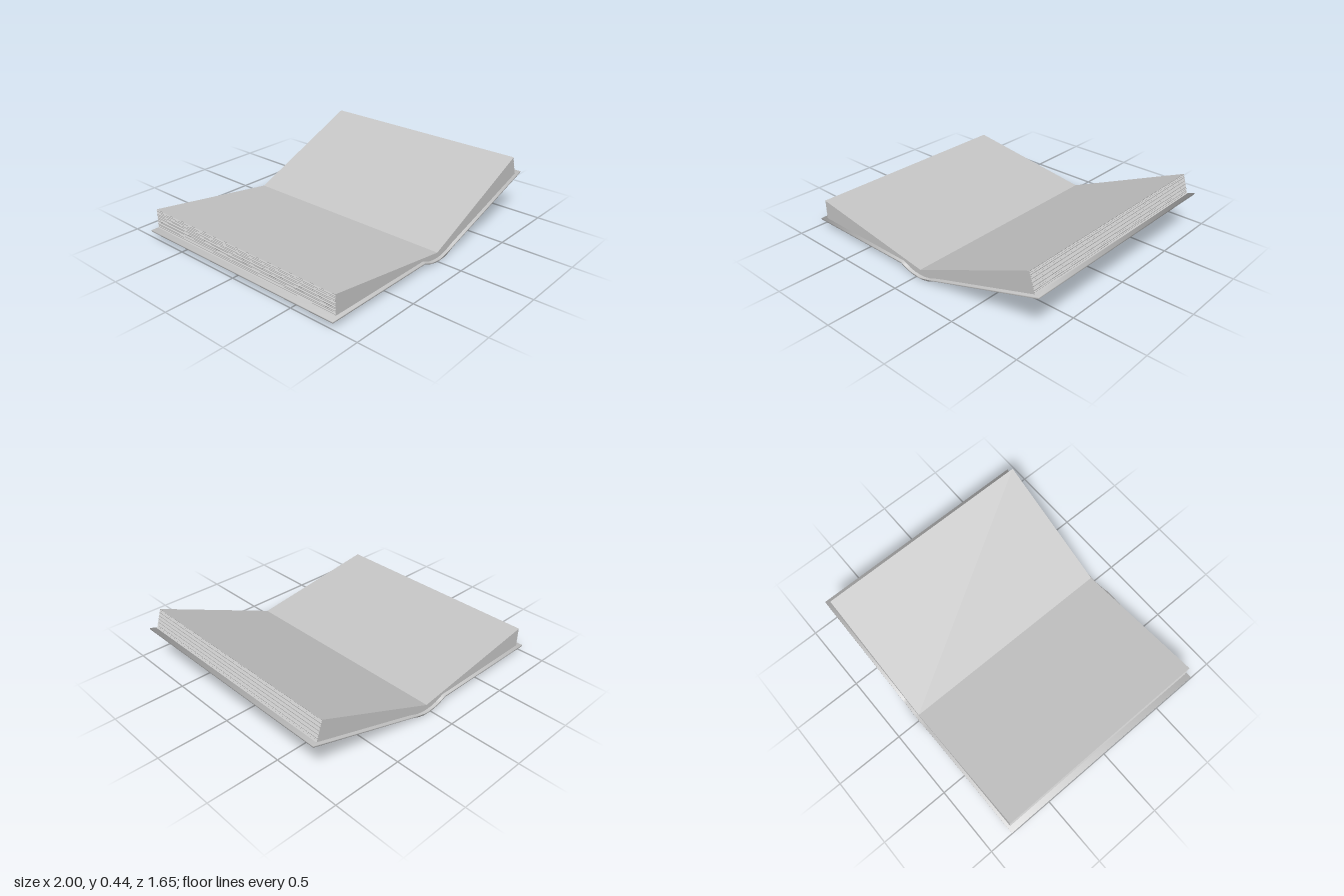
import * as THREE from 'three';
import { toCreasedNormals } from 'three/addons/utils/BufferGeometryUtils.js';

const grey = new THREE.MeshStandardMaterial({ color: 0xc4c4c4 });
grey.name = 'plain grey';

// Extrude an x/y outline evenly to both sides of z = 0
function slab(points, halfDepth) {
  const shape = new THREE.Shape(points.map(([x, y]) => new THREE.Vector2(x, y)));
  const geometry = new THREE.ExtrudeGeometry(shape, { depth: 2 * halfDepth, bevelEnabled: false, steps: 1 });
  return geometry.translate(0, 0, -halfDepth);
}

// Uneven zigzag of page edges running from a to b, cut inwards along inX
function pageEdges(a, b, inX, count = 12) {
  const points = [];
  for (let i = 0; i <= count * 2; i++) {
    const t = i / (count * 2);
    const depth = i % 2 ? 0.004 + 0.003 * Math.abs(Math.sin(i * 2.3)) : 0.001 * (1 + Math.sin(i * 1.7));
    const inset = i === 0 || i === count * 2 ? 0 : depth;
    points.push([a[0] + (b[0] - a[0]) * t + inX * inset, a[1] + (b[1] - a[1]) * t]);
  }
  return points;
}

export function createModel() {
  const group = new THREE.Group();
  group.name = 'openBook';
  const add = (name, geometry) => {
    const mesh = new THREE.Mesh(geometry, grey);
    mesh.name = name;
    group.add(mesh);
  };

  // Cover: flat left board, curved spine, raised right board
  const under = [[-1, 0.04], [-0.14, 0.04], [-0.11, 0.026], [-0.07, 0.012], [-0.025, 0.003], [0.02, 0],
    [0.065, 0.003], [0.11, 0.014], [0.15, 0.03], [0.18, 0.042], [1, 0.303]];
  const upper = under.map(([x, y]) => [x, y + 0.01]).reverse();
  // Enlarged while smoothing so the thin faces stay distinct
  const cover = slab([...under, ...upper], 0.825).scale(100, 100, 100);
  add('cover', toCreasedNormals(cover, Math.PI).scale(0.01, 0.01, 0.01));

  // Page blocks meeting at the gutter
  const gutter = [0.02, 0.05];
  const base = [0.02, 0.012];
  add('leftPages', slab([
    gutter, ...pageEdges([-0.958, 0.197], [-0.958, 0.058], 1),
    [-0.14, 0.052], [-0.07, 0.024], [-0.025, 0.015], base,
  ], 0.805));
  add('rightPages', slab([
    base, [0.065, 0.015], [0.11, 0.026], [0.18, 0.054],
    ...pageEdges([0.96, 0.304], [0.918, 0.438], -1), gutter,
  ], 0.805));
  return group;
}
